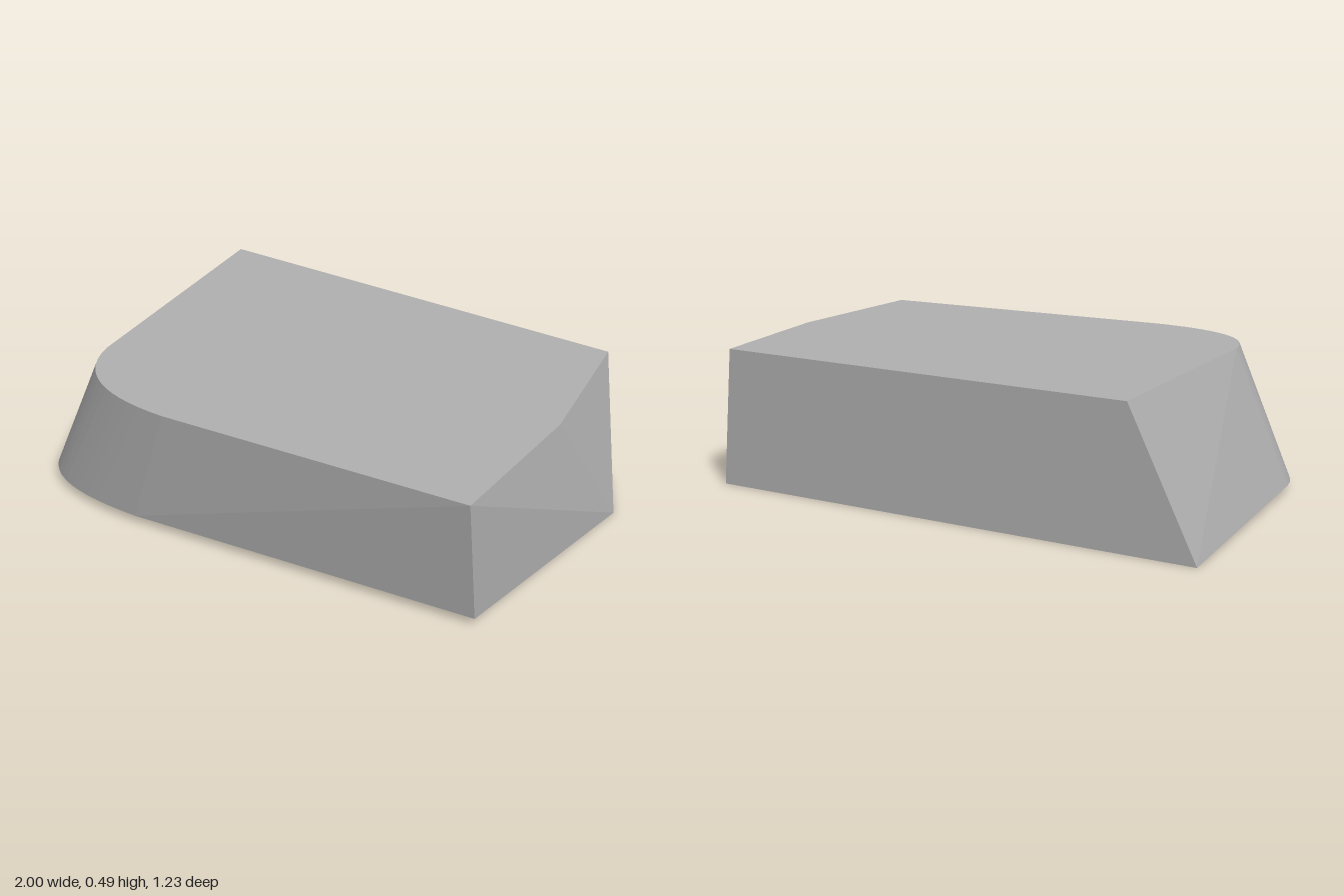
import * as THREE from 'three';

// Rounded front corner between the left side and the front, as [x, z] points
function cornerCurve(a, b, c, d) {
  const curve = new THREE.CubicBezierCurve(...[a, b, c, d].map(p => new THREE.Vector2(...p)));
  return curve.getPoints(14).map(p => [p.x, p.y]);
}

// Outlines run front right, right side, back, left side, rounded corner
const TOP_Y = 0.49;
const topOutline = [
  [0.925, 0.54], [0.925, -0.06], [0.83, -0.615], [-0.75, -0.615],
  ...cornerCurve([-0.66, 0.33], [-0.62, 0.53], [-0.45, 0.615], [-0.2, 0.615]),
];
const baseOutline = [
  [0.925, 0.475], [1, -0.39], [0.87, -0.615], [-1, -0.615],
  ...cornerCurve([-0.87, 0.33], [-0.83, 0.53], [-0.66, 0.59], [-0.36, 0.587]),
];

// The underside rises gently towards the front
const baseY = z => 0.03 * THREE.MathUtils.clamp((z + 0.39) / 0.865, 0, 1);

function meshFromTriangles(name, triangles, material) {
  const geometry = new THREE.BufferGeometry().setFromPoints(triangles.flat());
  geometry.computeVertexNormals();
  const mesh = new THREE.Mesh(geometry, material);
  mesh.name = name;
  return mesh;
}

export function createModel() {
  const group = new THREE.Group();
  group.name = 'taperedBlock';
  const grey = new THREE.MeshStandardMaterial({ color: 0xb0b0b0 });
  grey.name = 'plain grey';

  const top = topOutline.map(([x, z]) => new THREE.Vector3(x, TOP_Y, z));
  const base = baseOutline.map(([x, z]) => new THREE.Vector3(x, baseY(z), z));
  const sides = [], topFace = [], underside = [];
  const n = top.length;

  // Sloping walls; the first panel folds along the other diagonal
  for (let i = 0; i < n; i++) {
    const j = (i + 1) % n;
    if (i === 0) sides.push([base[i], base[j], top[i]], [base[j], top[j], top[i]]);
    else sides.push([base[i], base[j], top[j]], [base[i], top[j], top[i]]);
  }

  // Flat top and underside
  for (let i = 1; i < n - 1; i++) {
    topFace.push([top[0], top[i], top[i + 1]]);
    underside.push([base[0], base[i + 1], base[i]]);
  }

  group.add(
    meshFromTriangles('sideWalls', sides, grey),
    meshFromTriangles('topFace', topFace, grey),
    meshFromTriangles('underside', underside, grey),
  );
  return group;
}
